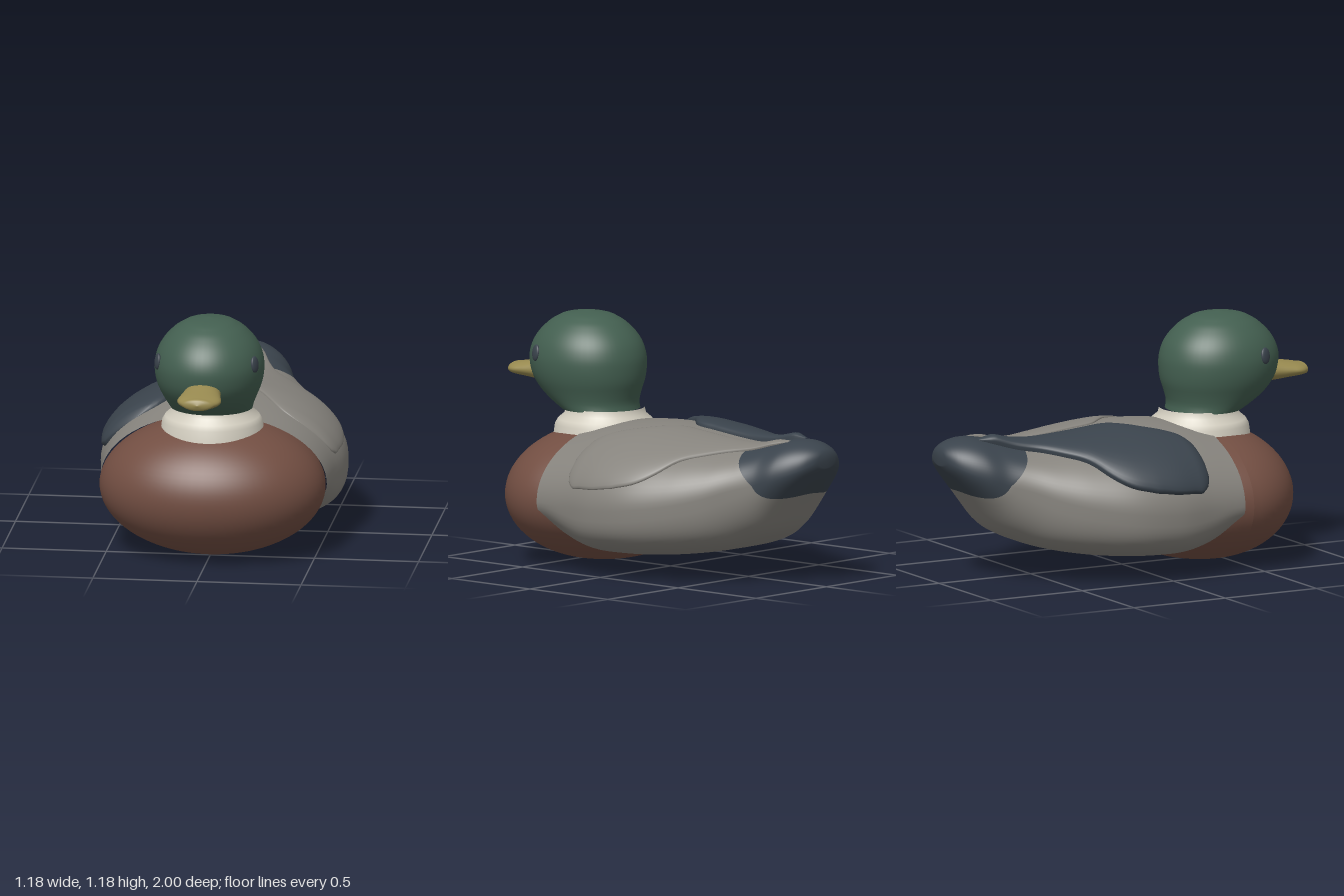
import * as THREE from 'three';

const mat = (name, color) => Object.assign(new THREE.MeshStandardMaterial({ color }), { name });
const { sin, cos, abs, sign, pow, PI, min } = Math;

// Smooth interpolation of station rows; the first value of each row is the key
function stations(rows) {
  const n = rows[0].length - 1;
  const it = new THREE.CubicInterpolant(rows.map(r => r[0]), rows.flatMap(r => r.slice(1)), n);
  return k => Array.from(it.evaluate(k));
}

// Smooth surface from fn(angle, v), closed round the angle
function loft(nu, nv, fn) {
  const pos = [], idx = [];
  for (let j = 0; j <= nv; j++)
    for (let i = 0; i < nu; i++) pos.push(...fn((i / nu) * PI * 2, j / nv));
  for (let j = 0; j < nv; j++)
    for (let i = 0; i < nu; i++) {
      const a = j * nu + i, b = j * nu + (i + 1) % nu;
      idx.push(a, b, a + nu, b, b + nu, a + nu);
    }
  const g = new THREE.BufferGeometry();
  g.setAttribute('position', new THREE.Float32BufferAttribute(pos, 3));
  g.setIndex(idx);
  g.computeVertexNormals();
  return g;
}

// Body sections: distance back, half width, top, widest height, bottom
const section = stations([
  [-0.37, 0.543, 0.662, 0.335, 0.12],
  [-0.2, 0.56, 0.69, 0.335, 0.092],
  [0, 0.588, 0.70, 0.335, 0.09],
  [0.2, 0.57, 0.685, 0.35, 0.10],
  [0.4, 0.485, 0.665, 0.38, 0.125],
  [0.55, 0.39, 0.655, 0.42, 0.16],
  [0.65, 0.315, 0.662, 0.46, 0.20],
  [0.75, 0.255, 0.685, 0.49, 0.26],
  [0.85, 0.22, 0.70, 0.53, 0.38],
  [0.93, 0.165, 0.69, 0.56, 0.48],
  [0.98, 0.105, 0.668, 0.59, 0.545],
  [1.0, 0.06, 0.65, 0.61, 0.575],
]);

// Point on the body: angle 0 is the top; the belly is squarer than the back
function bodyPoint(a, z, k = 1) {
  const [w, top, mid, low] = section(-z);
  const box = THREE.MathUtils.smoothstep(-z, -0.37, -0.05) * (1 - THREE.MathUtils.smoothstep(-z, 0.5, 0.9));
  const s = sin(a), c = cos(a), e = c < 0 ? 2 / (2 + 1.2 * box) : 1;
  const h = c < 0 ? mid - low : top - mid;
  return [k * w * sign(s) * pow(abs(s), e), mid + k * h * sign(c) * pow(abs(c), e), z];
}
const tailEdge = a => -0.75 + 0.15 * cos(a);

// Wing outline: distance back, inner x, outer x
const wingOutline = stations([
  [-0.2, 0.39, 0.45], [-0.185, 0.33, 0.51], [-0.15, 0.28, 0.545], [-0.08, 0.225, 0.56],
  [0, 0.17, 0.567], [0.08, 0.09, 0.562], [0.13, 0.045, 0.555], [0.25, 0.035, 0.51],
  [0.32, 0.035, 0.445], [0.38, 0.035, 0.35], [0.46, 0.035, 0.27], [0.55, 0.035, 0.19],
  [0.65, 0.035, 0.14], [0.75, 0.038, 0.10], [0.82, 0.05, 0.07],
]);

// Raised wing that follows the curve of the back
function wing(side, height) {
  return loft(32, 60, (u, v) => {
    const p = side * u, back = -0.2 + 1.02 * v;
    const [xin, xout] = wingOutline(back);
    const [w, top, mid] = section(back);
    const a0 = Math.asin(xin / w), a1 = Math.asin(min(0.975, xout / w));
    const a = a0 + (a1 - a0) * (0.5 + 0.5 * sin(p));
    const taper = min(1, pow(v / 0.06, 0.5), (1 - v) / 0.08 + 0.1);
    const off = cos(p) > 0 ? height * taper * pow(cos(p), 0.5) : 0.015 * cos(p);
    const [x, y, z] = bodyPoint(a, -back);
    const n = new THREE.Vector2(sin(a) / w, cos(a) / (top - mid)).normalize();
    return [side * (x + n.x * off), y + n.y * off, z];
  });
}

export function createModel() {
  const group = new THREE.Group();
  const green = mat('headGreen', 0x435f50);
  const brown = mat('chestBrown', 0x724e42);
  const grey = mat('bodyGrey', 0x86837d);
  const slate = mat('slate', 0x3a434c);
  const cream = mat('collarCream', 0xd2cdbf);
  const gold = mat('billGold', 0x988a50);
  const add = (name, geo, m) => {
    const mesh = new THREE.Mesh(geo, m);
    mesh.name = name;
    group.add(mesh);
    return mesh;
  };

  // Body and dark tail share one surface, divided along a slanting edge
  add('body', loft(72, 48, (a, v) => bodyPoint(a, 0.37 + (tailEdge(a) - 0.37) * v)), grey);
  add('tail', loft(72, 25, (a, v) => {
    const t = min(1, v * 25 / 24), z0 = tailEdge(a);
    return bodyPoint(a, z0 + (-1 - z0) * t, v === 1 ? 0.001 : 1);
  }), slate);

  // Chest: ellipsoid, longer behind where it sinks into the body
  const chest = new THREE.SphereGeometry(1, 64, 40);
  const cp = chest.attributes.position;
  for (let i = 0; i < cp.count; i++) {
    const z = cp.getZ(i);
    cp.setXYZ(i, cp.getX(i) * 0.54, 0.33 + cp.getY(i) * 0.327, 0.42 + z * (z > 0 ? 0.42 : 0.52));
  }
  chest.computeVertexNormals();
  add('chest', chest, brown);

  // Wings: one dark and thick, one grey and shallow
  add('rightWing', wing(-1, 0.038), slate);
  add('leftWing', wing(1, 0.016), grey);

  // Collar
  const collar = new THREE.LatheGeometry(
    [[0.25, 0.58], [0.24, 0.65], [0.225, 0.675], [0.195, 0.7], [0.188, 0.73]].map(p => new THREE.Vector2(...p)), 48);
  add('collar', collar, cream).position.z = 0.42;

  // Head: height, half width, half depth, centre z
  const headRing = stations([
    [0.722, 0.196, 0.178, 0.445], [0.75, 0.204, 0.203, 0.475], [0.8, 0.224, 0.244, 0.505],
    [0.86, 0.248, 0.278, 0.52], [0.92, 0.26, 0.292, 0.527], [0.98, 0.259, 0.292, 0.53],
    [1.05, 0.236, 0.266, 0.53], [1.11, 0.191, 0.215, 0.53], [1.15, 0.14, 0.158, 0.53],
    [1.175, 0.078, 0.088, 0.53], [1.185, 0.001, 0.001, 0.53],
  ]);
  add('head', loft(56, 40, (a, v) => {
    const y = 0.722 + 0.463 * sin(v * PI / 2);
    const [rx, rz, cz] = headRing(y);
    return [rx * sin(a), y, cz + rz * cos(a)];
  }), green);
  const underside = add('headUnderside', new THREE.CircleGeometry(1, 48), green);
  underside.scale.set(0.196, 0.178, 1);
  underside.rotation.x = PI / 2;
  underside.position.set(0, 0.722, 0.445);

  // Bill: z, half width, half height, centre y
  const billRing = stations([
    [0.74, 0.085, 0.052, 0.874], [0.82, 0.09, 0.05, 0.873], [0.88, 0.1, 0.041, 0.871],
    [0.93, 0.104, 0.034, 0.869], [0.965, 0.085, 0.029, 0.867], [0.99, 0.05, 0.023, 0.866],
    [1.0, 0.001, 0.001, 0.866],
  ]);
  add('bill', loft(32, 26, (a, v) => {
    const z = 1 - 0.26 * v * v;
    const [rx, ry, cy] = billRing(z);
    return [rx * sin(a), cy + ry * cos(a), z];
  }), gold);

  // Eyes
  for (const s of [-1, 1]) {
    const eye = add(s > 0 ? 'leftEye' : 'rightEye', new THREE.SphereGeometry(1, 20, 14), slate);
    eye.scale.set(0.013, 0.04, 0.03);
    eye.position.set(s * 0.233, 0.99, 0.655);
    eye.rotation.set(0, -s * 0.4, s * 0.12);
  }
  return group;
}
